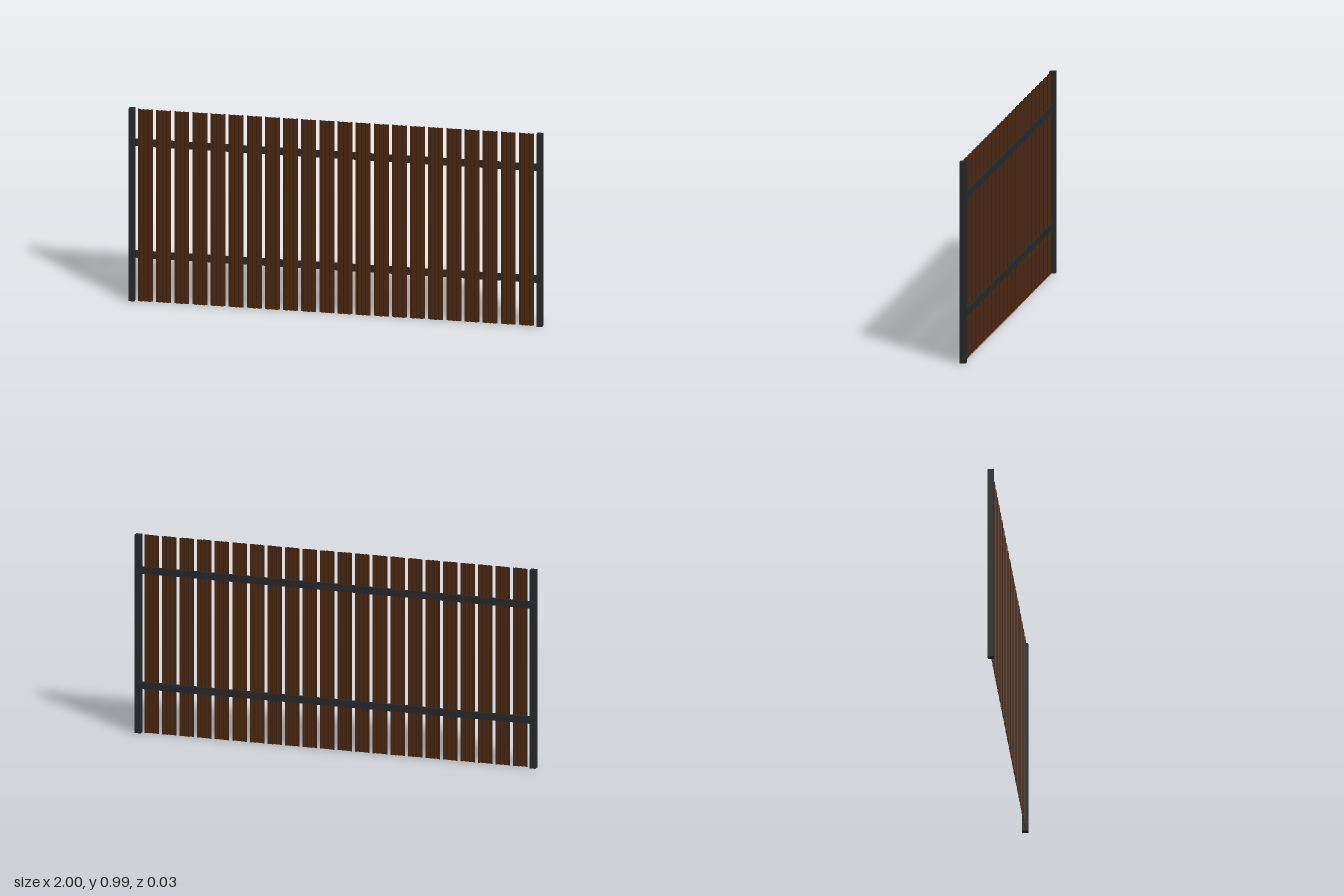
import * as THREE from 'three';

const HEIGHT = 0.985, POST = 0.03, BOARDS = 22, BOARD_W = 0.072, PITCH = 0.0876;

// Ribbed sheet-metal board: a trapezoid wave with thickness, extruded upward
function boardGeometry() {
  const ribs = 3, flange = 0.006, thick = 0.0015, back = 0.001, depth = 0.005;
  const step = (BOARD_W - 2 * flange) / ribs;
  const wave = [[-BOARD_W / 2, back]];
  for (let i = 0; i < ribs; i++) {
    const x = -BOARD_W / 2 + flange + i * step;
    wave.push([x + step * 0.08, back], [x + step * 0.25, back + depth],
      [x + step * 0.75, back + depth], [x + step * 0.92, back]);
  }
  wave.push([BOARD_W / 2, back]);
  const outline = [
    ...wave.map(([x, z]) => new THREE.Vector2(x, -z)),
    ...wave.slice().reverse().map(([x, z]) => new THREE.Vector2(x, -z - thick)),
  ];
  const geometry = new THREE.ExtrudeGeometry(new THREE.Shape(outline), { depth: HEIGHT, bevelEnabled: false });
  return geometry.rotateX(-Math.PI / 2);
}

export function createModel() {
  const fence = new THREE.Group();
  fence.name = 'fencePanel';
  const steel = new THREE.MeshStandardMaterial({ color: 0x26282b });
  const brown = new THREE.MeshStandardMaterial({ color: 0x47260f });

  const add = (name, geometry, material, x, y, z) => {
    const mesh = new THREE.Mesh(geometry, material);
    mesh.name = name;
    mesh.position.set(x, y, z);
    fence.add(mesh);
  };

  // End posts
  const post = new THREE.BoxGeometry(POST, HEIGHT, POST);
  add('leftPost', post, steel, 1 - POST / 2, HEIGHT / 2, 0);
  add('rightPost', post, steel, -1 + POST / 2, HEIGHT / 2, 0);

  // Horizontal rails behind the boards
  const rail = new THREE.BoxGeometry(2 - 2 * POST, 0.035, 0.01);
  add('upperRail', rail, steel, 0, 0.81, -0.004);
  add('lowerRail', rail, steel, 0, 0.237, -0.004);

  // Row of ribbed boards
  const board = boardGeometry();
  for (let i = 0; i < BOARDS; i++) {
    add('board' + (i + 1), board, brown, (i - (BOARDS - 1) / 2) * PITCH, 0, 0);
  }
  return fence;
}
